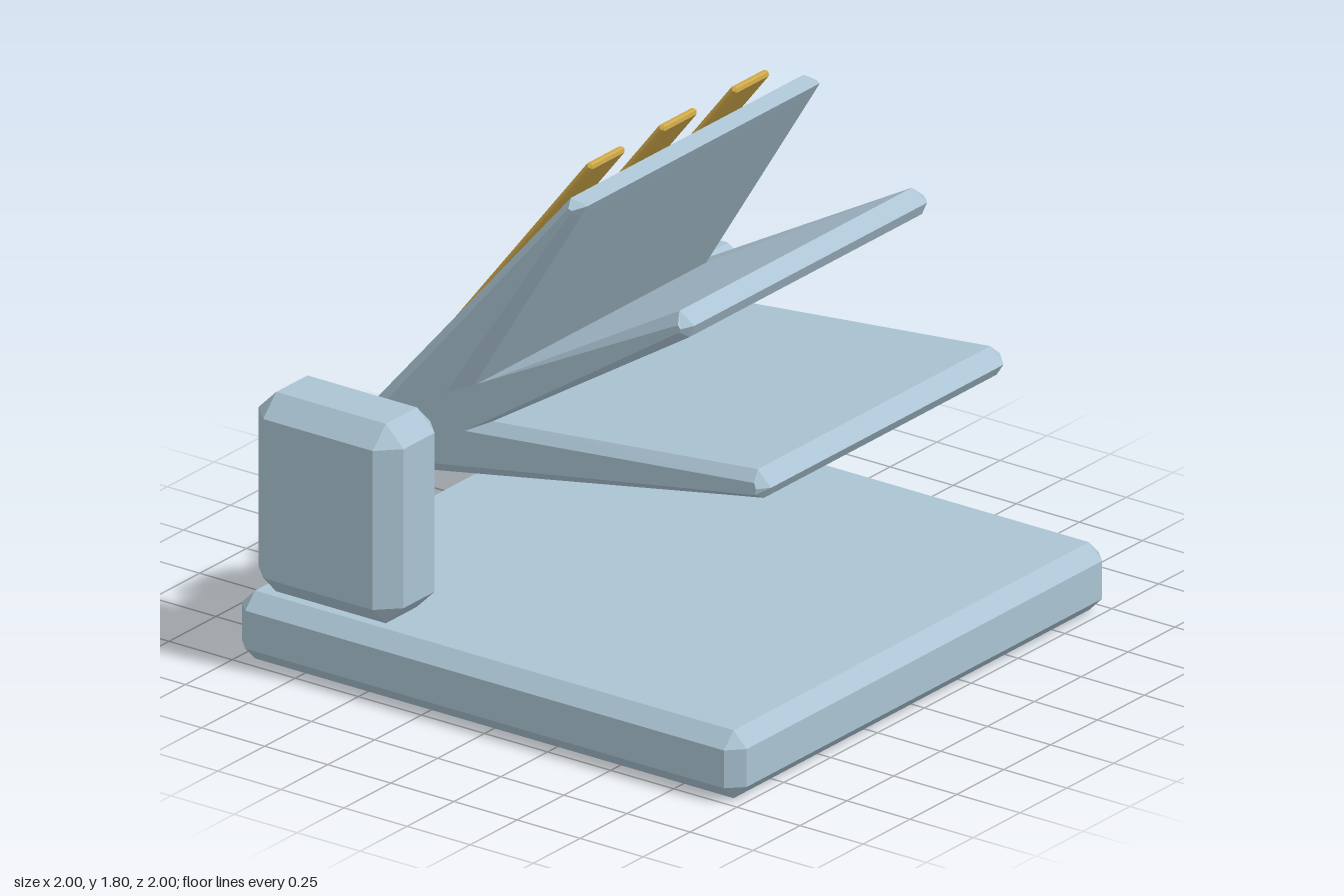
import * as THREE from 'three';
import { ConvexGeometry } from 'three/addons/geometries/ConvexGeometry.js';

const steel = new THREE.MeshStandardMaterial({ color: 0xabc4d3 });
steel.name = 'paleSteel';
const gold = new THREE.MeshStandardMaterial({ color: 0xd2ab4a });
gold.name = 'gold';
const grey = new THREE.MeshStandardMaterial({ color: 0xb6b6b8 });
grey.name = 'axleGrey';

// Box with every edge and corner cut by c
function chamferBox(w, h, d, c) {
  const half = [w / 2, h / 2, d / 2];
  const pts = [];
  for (const sx of [-1, 1]) for (const sy of [-1, 1]) for (const sz of [-1, 1]) {
    for (let full = 0; full < 3; full++) {
      const [x, y, z] = half.map((v, i) => (i === full ? v : v - c));
      pts.push(new THREE.Vector3(sx * x, sy * y, sz * z));
    }
  }
  return new ConvexGeometry(pts);
}

function add(parent, name, geometry, material, x, y, z) {
  const mesh = new THREE.Mesh(geometry, material);
  mesh.name = name;
  mesh.position.set(x, y, z);
  parent.add(mesh);
  return mesh;
}

// Fan profile as [z, y]: rim is the outer outline, face is the smaller side outline
const rim = [
  [-0.64, 0.63], [0.825, 0.895], [0.853, 0.937], [0.8, 0.988], [-0.25, 0.886],
  [0.53, 1.376], [0.55, 1.42], [0.49, 1.457], [-0.325, 0.99],
  [0.1, 1.683], [0.125, 1.725], [0.06, 1.738], [-0.74, 0.815],
];
const face = [
  [-0.62, 0.672], [0.815, 0.914], [0.819, 0.935], [0.812, 0.955], [-0.335, 0.843],
  [0.515, 1.4], [0.52, 1.412], [0.51, 1.424], [-0.41, 0.955],
  [0.085, 1.704], [0.09, 1.712], [0.075, 1.716], [-0.7, 0.805],
];

// Three joined blades: side faces, bevels and the outer band between them
function fanGeometry() {
  const pos = [];
  const at = (x, p) => [x, p[1], p[0]];
  const tri = (a, b, c) => pos.push(...a, ...b, ...c);
  const rings = [[-0.655, face], [-0.62, rim], [0.62, rim], [0.655, face]];
  for (let r = 0; r < 3; r++) {
    const [x0, p0] = rings[r], [x1, p1] = rings[r + 1];
    for (let i = 0; i < rim.length; i++) {
      const j = (i + 1) % rim.length;
      const a = at(x0, p0[i]), b = at(x0, p0[j]), c = at(x1, p1[j]), d = at(x1, p1[i]);
      tri(a, c, b);
      tri(a, d, c);
    }
  }
  const outline = face.map(([z, y]) => new THREE.Vector2(z, y));
  for (const [i, j, k] of THREE.ShapeUtils.triangulateShape(outline, [])) {
    tri(at(-0.655, face[i]), at(-0.655, face[j]), at(-0.655, face[k]));
    tri(at(0.655, face[i]), at(0.655, face[k]), at(0.655, face[j]));
  }
  const g = new THREE.BufferGeometry();
  g.setAttribute('position', new THREE.Float32BufferAttribute(pos, 3));
  g.computeVertexNormals();
  return g;
}

export function createModel() {
  const model = new THREE.Group();
  model.name = 'hingedFan';

  add(model, 'basePlate', chamferBox(2, 0.235, 2, 0.052), steel, 0, 0.1175, 0);

  // Two hinge posts carrying the axle
  const postGeometry = chamferBox(0.306, 0.69, 0.574, 0.07);
  add(model, 'leftPost', postGeometry, steel, 0.83, 0.58, -0.673);
  add(model, 'rightPost', postGeometry, steel, -0.83, 0.58, -0.673);

  const axle = add(model, 'axle', new THREE.CylinderGeometry(0.094, 0.094, 1.44, 32), grey, 0, 0.736, -0.678);
  axle.rotation.z = Math.PI / 2;

  add(model, 'fanBlades', fanGeometry(), steel, 0, 0, 0);

  // Gold strips lying along the back of the top blade
  const stripGeometry = chamferBox(0.19, 0.026, 1.03, 0.01);
  for (const x of [-0.385, 0, 0.385]) {
    add(model, 'goldStrip', stripGeometry, gold, x, 1.39, -0.288).rotation.x = -0.904;
  }
  return model;
}
